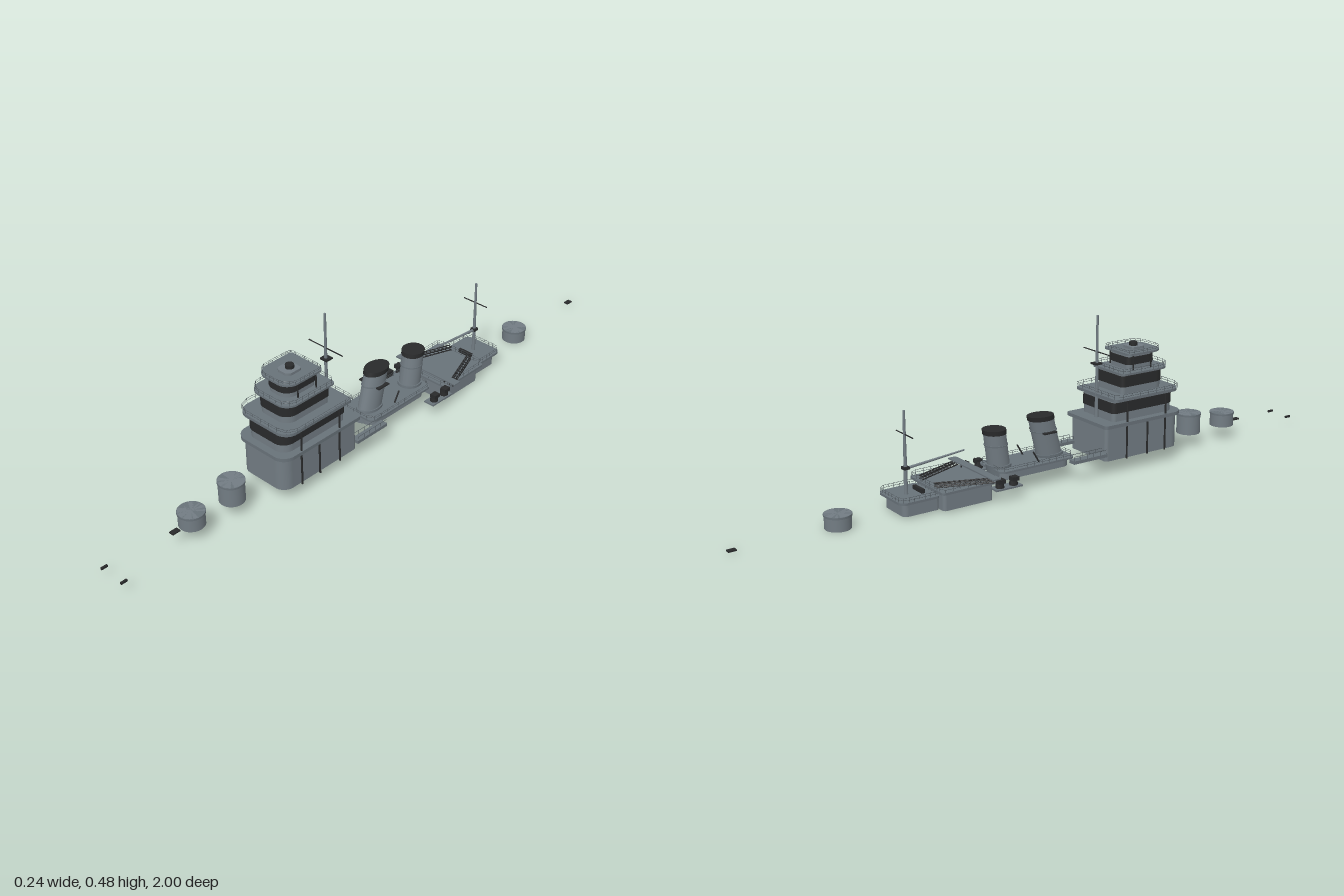
import * as THREE from 'three';
import { mergeGeometries } from 'three/addons/utils/BufferGeometryUtils.js';

const paint = (name, color) => new THREE.MeshStandardMaterial({ name, color });

export function createModel() {
  const root = new THREE.Group();
  root.name = 'shipSuperstructure';
  const grey = paint('hullGrey', 0x727c83);
  const deck = paint('deckGrey', 0x687279);
  const dark = paint('darkSteel', 0x292a2b);
  const railGrey = paint('railGrey', 0x50585d);

  const add = (name, geo, mat, x = 0, y = 0, z = 0) => {
    const m = new THREE.Mesh(geo, mat);
    m.name = name;
    m.position.set(x, y, z);
    root.add(m);
    return m;
  };
  const box = (name, mat, w, h, d, x, y, z) => add(name, new THREE.BoxGeometry(w, h, d), mat, x, y, z);

  // Plan outline: half width, back z, front z, back and front corner radii
  const outline = (w, z0, z1, rb, rf) => {
    const s = new THREE.Shape();
    s.moveTo(-w + rf, -z1);
    s.lineTo(w - rf, -z1);
    s.absarc(w - rf, -z1 + rf, rf, -Math.PI / 2, 0, false);
    s.absarc(w - rb, -z0 - rb, rb, 0, Math.PI / 2, false);
    s.absarc(-w + rb, -z0 - rb, rb, Math.PI / 2, Math.PI, false);
    s.absarc(-w + rf, -z1 + rf, rf, Math.PI, Math.PI * 1.5, false);
    s.closePath();
    return s;
  };
  const block = (name, mat, w, z0, z1, y0, y1, rb = 0.01, rf = 0.03) => {
    const g = new THREE.ExtrudeGeometry(outline(w, z0, z1, rb, rf), { depth: y1 - y0, bevelEnabled: false, curveSegments: 8 });
    g.rotateX(-Math.PI / 2);
    return add(name, g, mat, 0, y0, 0);
  };

  // Round bar between two points
  const barGeo = (a, b, r, sides = 5, r2 = r) => {
    const p = new THREE.Vector3(...a), q = new THREE.Vector3(...b);
    const d = q.clone().sub(p);
    const g = new THREE.CylinderGeometry(r2, r, d.length(), sides);
    g.applyQuaternion(new THREE.Quaternion().setFromUnitVectors(new THREE.Vector3(0, 1, 0), d.normalize()));
    return g.translate(...p.add(q).multiplyScalar(0.5).toArray());
  };
  const bar = (name, mat, a, b, r, sides = 6, r2 = r) => add(name, barGeo(a, b, r, sides, r2), mat);

  // Railing: stanchions and two wires around an outline
  const rail = (w, z0, z1, y, h = 0.016, rb = 0.01, rf = 0.03) => {
    const pts = outline(w, z0, z1, rb, rf).getSpacedPoints(28);
    const parts = [];
    pts.slice(0, -1).forEach((p, i) => {
      const q = pts[i + 1];
      parts.push(barGeo([p.x, y, -p.y], [p.x, y + h, -p.y], 0.0007, 4));
      for (const k of [0.5, 1]) parts.push(barGeo([p.x, y + h * k, -p.y], [q.x, y + h * k, -q.y], 0.0006, 4));
    });
    add('railing', mergeGeometries(parts), railGrey);
  };

  // Bridge tower: lower house and three stepped levels with window bands
  block('towerBase', grey, 0.0875, 0.175, 0.465, 0.045, 0.15, 0.01, 0.035);
  block('towerBaseDeck', deck, 0.1, 0.165, 0.472, 0.15, 0.161, 0.01, 0.04);
  const levels = [
    { w: 0.077, z: [0.21, 0.45], y: [0.161, 0.228], win: [0.187, 0.22], slab: [0.1, 0.2, 0.46] },
    { w: 0.061, z: [0.255, 0.42], y: [0.237, 0.299], win: [0.259, 0.293], slab: [0.078, 0.245, 0.432] },
    { w: 0.045, z: [0.29, 0.4], y: [0.305, 0.353], win: [0.32, 0.344], slab: [0.064, 0.278, 0.415] },
  ];
  levels.forEach(({ w, z, y, win, slab }, i) => {
    const top = y[1] + [0.009, 0.006, 0.006][i];
    block('towerLevel', grey, w, z[0], z[1], y[0], y[1], 0.012, 0.035);
    block('windowBand', dark, w + 0.003, z[0] - 0.003, z[1] + 0.003, win[0], win[1], 0.015, 0.038);
    block('towerDeck', deck, ...slab, y[1], top, 0.012, 0.04);
    rail(slab[0] + (i === 0 ? 0.004 : -0.001), slab[1] + 0.002, slab[2] - 0.002, top, i === 2 ? 0.01 : 0.014, 0.012, 0.038);
  });
  block('director', grey, 0.025, 0.322, 0.375, 0.359, 0.367, 0.008, 0.015);
  add('directorCap', new THREE.CylinderGeometry(0.013, 0.013, 0.011, 16), dark, 0, 0.372, 0.345);

  // Tower supports
  for (const s of [-1, 1]) {
    for (const z of [0.4, 0.33, 0.25]) bar('lowerPost', dark, [s * 0.094, 0.045, z], [s * 0.094, 0.15, z], 0.003);
    for (const z of [0.4, 0.25]) bar('upperPost', dark, [s * 0.095, 0.161, z], [s * 0.095, 0.228, z], 0.003);
    for (const z of [0.37, 0.3]) bar('topPost', dark, [s * 0.056, 0.305, z], [s * 0.056, 0.353, z], 0.0025);

    // Walkways reaching aft from the tower
    box('walkway', deck, 0.025, 0.01, 0.125, s * 0.0825, 0.068, 0.113);
    for (const dx of [-0.011, 0.011]) {
      const x = s * 0.0825 + dx;
      bar('walkwayRail', railGrey, [x, 0.086, 0.052], [x, 0.086, 0.172], 0.0008, 4);
      for (let z = 0.052; z < 0.175; z += 0.024) bar('walkwayStanchion', railGrey, [x, 0.072, z], [x, 0.086, z], 0.0007, 4);
    }

    // Side gun platform with twin mounts
    box('gunPlatform', deck, 0.036, 0.005, 0.09, s * 0.09, 0.043, -0.188);
    for (const z of [-0.165, -0.212]) {
      add('gunMount', new THREE.CylinderGeometry(0.011, 0.013, 0.02, 10), dark, s * 0.092, 0.055, z);
      box('gunShield', dark, 0.02, 0.012, 0.022, s * 0.096, 0.066, z);
      for (const dz of [-0.005, 0.005]) bar('gunBarrel', dark, [s * 0.098, 0.067, z + dz], [s * 0.108, 0.072, z + dz], 0.0015, 5);
    }

    // Lattice catapult set diagonally on the aft deck
    const a = [s * 0.04, 0.074, -0.395], b = [s * 0.1, 0.074, -0.235];
    const at = (t, off, y) => [a[0] + (b[0] - a[0]) * t + off, y, a[2] + (b[2] - a[2]) * t];
    const lattice = [];
    for (const off of [-0.007, 0.007]) for (const y of [0.07, 0.08]) lattice.push(barGeo(at(0, off, y), at(1, off, y), 0.0018));
    for (let i = 0; i <= 12; i++) {
      lattice.push(barGeo(at(i / 12, -0.007, 0.08), at(i / 12, 0.007, 0.08), 0.0018));
      for (const off of [-0.007, 0.007]) if (i < 12) lattice.push(barGeo(at(i / 12, off, 0.07), at((i + 1) / 12, off, 0.08), 0.0014));
    }
    add('catapult', mergeGeometries(lattice), dark);

    // Small bow fittings
    box('bowFitting', dark, 0.006, 0.006, 0.02, s * 0.041, 0.035, 0.99);
  }

  // Foremast
  bar('foremast', grey, [0, 0.161, 0.205], [0, 0.478, 0.205], 0.006, 10, 0.0035);
  bar('foremastYard', dark, [-0.066, 0.366, 0.205], [0.066, 0.366, 0.205], 0.0018);
  box('foremastPlatform', dark, 0.026, 0.005, 0.026, 0, 0.33, 0.203);

  // Funnel deck
  block('funnelHouse', grey, 0.05, -0.175, 0.072, 0.046, 0.07, 0.03, 0.03);
  block('funnelDeck', deck, 0.063, -0.187, 0.08, 0.07, 0.076, 0.02, 0.02);
  rail(0.061, -0.185, 0.078, 0.076, 0.012, 0.02, 0.02);

  // Raked oval funnels with dark caps and hollow tops
  const funnel = (y0, y1, zBase, zTop, rx, rz) => {
    const rake = (zTop - zBase) / (y1 - y0);
    const section = (name, mat, ya, yb, k) => {
      const g = new THREE.CylinderGeometry(k, k, yb - ya, 28);
      g.scale(rx, 1, rz).translate(0, (ya + yb) / 2, zBase);
      const p = g.attributes.position;
      for (let i = 0; i < p.count; i++) p.setZ(i, p.getZ(i) + rake * (p.getY(i) - y0));
      g.computeVertexNormals();
      add(name, g, mat);
    };
    section('funnel', grey, y0, y1 - 0.014, 1);
    section('funnelCap', dark, y1 - 0.014, y1, 1.06);
    section('funnelBand', deck, y1 - 0.05, y1 - 0.046, 1.05);
    section('funnelFoot', deck, y0, 0.084, 1.12);
  };
  funnel(0.046, 0.205, 0.033, -0.006, 0.03, 0.042);
  funnel(0.04, 0.191, -0.15, -0.17, 0.033, 0.034);
  for (const s of [-1, 1]) {
    box('funnelPlatform', dark, 0.012, 0.004, 0.045, s * 0.035, 0.155, 0.005);
    bar('steamPipe', dark, [s * 0.042, 0.076, -0.04], [s * 0.042, 0.11, -0.06], 0.0025);
  }

  // Cross catwalk ahead of the aft house
  box('catwalk', deck, 0.242, 0.004, 0.026, 0, 0.083, -0.24);
  for (const x of [-0.07, 0.07]) bar('catwalkPost', dark, [x, 0.06, -0.24], [x, 0.083, -0.24], 0.0025);

  // Aft houses, stepping down towards the stern
  block('aftHouse', grey, 0.078, -0.39, -0.225, 0.007, 0.06, 0.01, 0.01);
  block('aftHouseDeck', deck, 0.093, -0.402, -0.22, 0.06, 0.067, 0.01, 0.01);
  rail(0.091, -0.4, -0.222, 0.067, 0.015, 0.01, 0.01);
  block('sternHouse', grey, 0.055, -0.505, -0.39, 0.007, 0.046, 0.015, 0.01);
  block('sternHouseDeck', deck, 0.068, -0.52, -0.395, 0.046, 0.053, 0.02, 0.01);
  rail(0.066, -0.518, -0.397, 0.053, 0.014, 0.02, 0.01);

  // Mainmast with yard and cargo boom
  bar('mainmast', grey, [0, 0.053, -0.466], [0, 0.297, -0.466], 0.006, 10, 0.0035);
  bar('mainmastYard', dark, [-0.046, 0.228, -0.466], [0.046, 0.228, -0.466], 0.0018);
  bar('boom', grey, [0, 0.128, -0.463], [0, 0.146, -0.272], 0.0045, 8, 0.0025);
  box('mastCollar', dark, 0.018, 0.008, 0.018, 0, 0.13, -0.466);
  box('winch', dark, 0.05, 0.012, 0.01, 0, 0.059, -0.425);

  // Turret bases with a thin top lip
  for (const [z, y0, y1] of [[0.725, 0.045, 0.09], [0.58, 0.045, 0.111], [-0.68, 0.001, 0.043]]) {
    add('turretBase', new THREE.CylinderGeometry(0.038, 0.038, y1 - y0, 32), grey, 0, (y0 + y1) / 2, z);
    add('turretLip', new THREE.CylinderGeometry(0.04, 0.04, 0.006, 32), deck, 0, y1 - 0.003, z);
  }

  // Centreline deck fittings
  box('foreHatch', dark, 0.016, 0.004, 0.026, 0, 0.053, 0.785);
  box('sternFitting', dark, 0.016, 0.004, 0.024, 0, 0.008, -0.988);
  return root;
}
